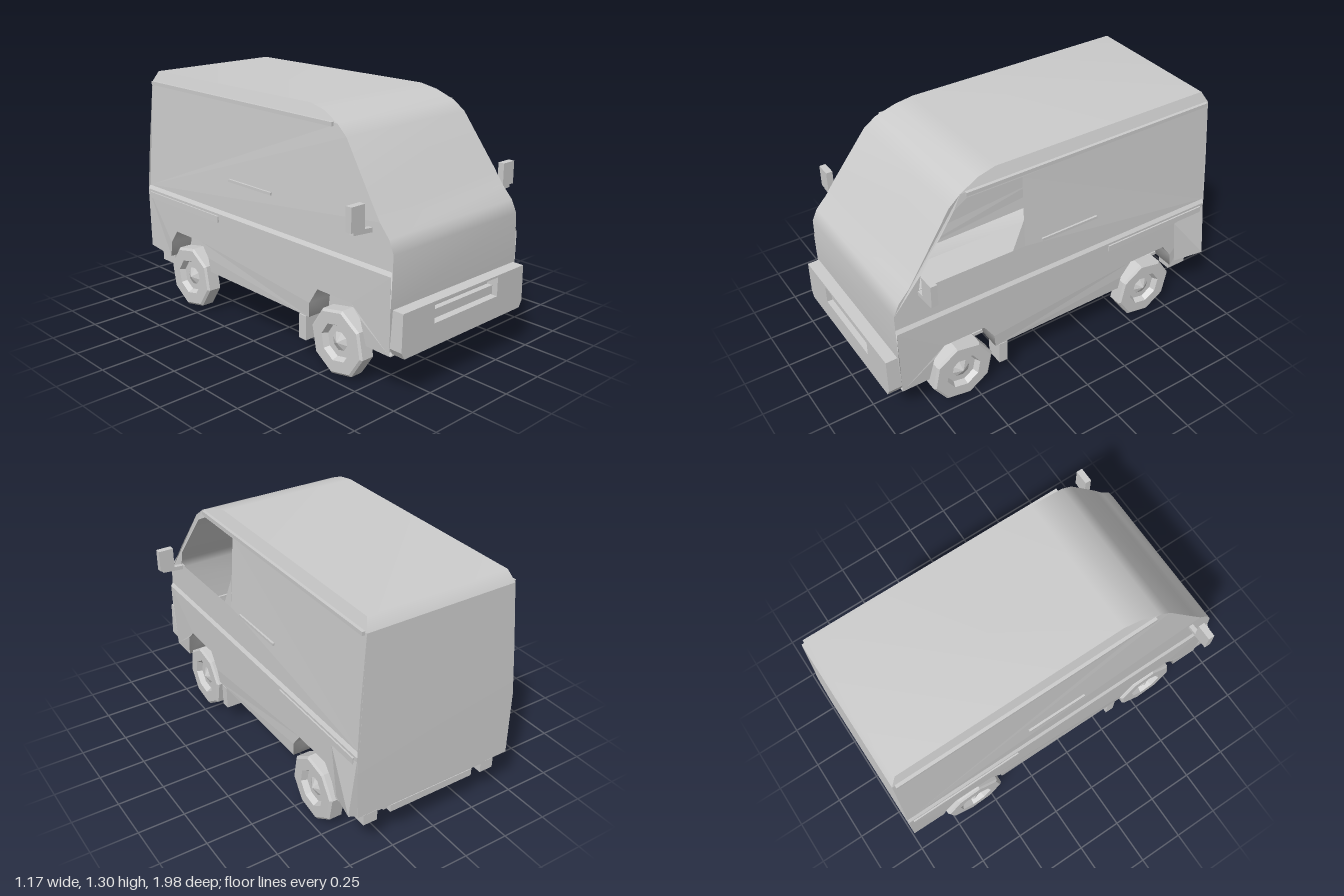
import * as THREE from 'three';

const paint = new THREE.MeshStandardMaterial({ color: 0xcccccc, side: THREE.DoubleSide });
paint.name = 'light grey';

// half width of the body at height y
const WIDTHS = [[0.24, 0.45], [0.3, 0.458], [0.62, 0.462], [0.64, 0.45], [0.9, 0.443], [1.13, 0.426], [1.24, 0.412], [1.305, 0.388]];
function halfWidth(y) {
  if (y <= WIDTHS[0][0]) return WIDTHS[0][1];
  for (let i = 1; i < WIDTHS.length; i++) {
    const [y0, w0] = WIDTHS[i - 1], [y1, w1] = WIDTHS[i];
    if (y <= y1) return w0 + (w1 - w0) * (y - y0) / (y1 - y0);
  }
  return WIDTHS[WIDTHS.length - 1][1];
}

// side profiles as [z, y]
const FRONT = [[0.92, 0.25], [0.93, 0.45], [0.93, 0.72], [0.9, 0.785], [0.84, 0.85], [0.785, 0.93], [0.6, 1.19],
  [0.535, 1.24], [0.43, 1.285], [0.33, 1.305], [-0.93, 1.3], [-0.965, 1.24]];
const REAR = [[-0.965, 1.24], [-0.975, 0.9], [-0.985, 0.62], [-0.99, 0.27]];
const SILL = [[-0.99, 0.27], [-0.8, 0.25], [-0.78, 0.34], [-0.72, 0.42], [-0.49, 0.42], [-0.43, 0.34],
  [-0.42, 0.26], [0.38, 0.25], [0.39, 0.33], [0.45, 0.42], [0.68, 0.42], [0.74, 0.36], [0.77, 0.23], [0.92, 0.23]];

const points2 = pts => pts.map(([a, b]) => new THREE.Vector2(a, b));

function surface(pos, idx) {
  const g = new THREE.BufferGeometry();
  g.setAttribute('position', new THREE.Float32BufferAttribute(pos, 3));
  g.setIndex(idx);
  g.computeVertexNormals();
  return g;
}

// band of surface running along a profile, between two x positions given per height
function strip(profile, xa, xb) {
  const pos = [], idx = [];
  profile.forEach(([z, y], i) => {
    pos.push(xa(y), y, z, xb(y), y, z);
    if (i) {
      const a = 2 * i - 2;
      idx.push(a, a + 1, a + 3, a, a + 3, a + 2);
    }
  });
  return surface(pos, idx);
}

// flat side panel bent to the body width; s is the side
function sidePanel(points, s, hole, xOf = halfWidth) {
  const shape = new THREE.Shape(points2(points));
  if (hole) shape.holes.push(new THREE.Path(points2(hole)));
  const g = new THREE.ShapeGeometry(shape);
  const p = g.attributes.position;
  for (let i = 0; i < p.count; i++) {
    const z = p.getX(i), y = p.getY(i);
    p.setXYZ(i, s * xOf(y), y, z);
  }
  if (s > 0) { // keep the faces pointing outward
    const ix = g.index.array;
    for (let i = 0; i < ix.length; i += 3) [ix[i], ix[i + 1]] = [ix[i + 1], ix[i]];
  }
  const flat = g.toNonIndexed();
  flat.computeVertexNormals();
  return flat;
}

export function createModel() {
  const van = new THREE.Group();
  van.name = 'van';
  const add = (name, geometry, parent = van) => {
    const m = new THREE.Mesh(geometry, paint);
    m.name = name;
    parent.add(m);
    return m;
  };
  const box = (name, w, h, d, x, y, z, parent) => {
    const m = add(name, new THREE.BoxGeometry(w, h, d), parent);
    m.position.set(x, y, z);
    return m;
  };

  // body skin
  const neg = y => -halfWidth(y);
  add('frontAndRoof', strip(FRONT, neg, halfWidth));
  add('rearDoor', strip(REAR, neg, halfWidth));
  const cabWindow = [[0.2, 0.82], [0.2, 1.21], [0.5, 1.21], [0.575, 1.17], [0.775, 0.9], [0.79, 0.82]];
  const lower = [...SILL, [0.93, 0.45], [0.93, 0.62], [-0.985, 0.62]];
  const ledge = [[0.93, 0.62], [-0.985, 0.62], [-0.985, 0.64], [0.93, 0.64]];
  const upper = [[-0.985, 0.64], [0.93, 0.64], ...FRONT.slice(2, 8), [-0.965, 1.24]];
  for (const s of [-1, 1]) {
    add('lowerSide', sidePanel(lower, s));
    add('beltLedge', sidePanel(ledge, s));
    add('upperSide', sidePanel(upper, s, s > 0 ? cabWindow : null));
    add('roofEdge', sidePanel(FRONT.slice(7), s));
    box('dripRail', 0.018, 0.02, 1.46, s * 0.418, 1.235, -0.22);
    box('beltMoulding', 0.016, 0.035, 0.64, s * 0.462, 0.59, -0.64);
    box('doorRail', 0.012, 0.014, 0.34, s * 0.447, 0.82, -0.07);
    // wheel wells
    add('wheelWell', strip(SILL, () => s * 0.32, y => s * halfWidth(y)));
    for (const arch of [SILL.slice(1, 7), SILL.slice(7, 13)])
      add('wellWall', sidePanel(arch, s, null, () => 0.32));
  }
  box('floor', 0.66, 0.02, 1.88, 0, 0.26, -0.04);

  // flared panel at the left rear corner, and the broken quarter glass behind the cab window
  add('rearCornerFlare', surface([0.463, 0.56, -0.78, 0.463, 0.6, -0.985, 0.505, 0.3, -0.985, 0.46, 0.28, -0.82, 0.45, 0.28, -0.988],
    [0, 2, 1, 0, 3, 2, 1, 2, 4]).toNonIndexed()).geometry.computeVertexNormals();
  add('quarterPane', sidePanel([[0.2, 0.82], [0.27, 0.82], [0.2, 0.98]], 1));

  // front bumper with a sunken grille
  const face = new THREE.Shape(points2([[-0.45, 0.27], [-0.43, 0.235], [0.43, 0.235], [0.45, 0.27], [0.445, 0.46], [-0.445, 0.46]]));
  face.holes.push(new THREE.Path(points2([[-0.23, 0.35], [-0.23, 0.45], [0.24, 0.45], [0.24, 0.35]])));
  add('bumper', new THREE.ExtrudeGeometry(face, { depth: 0.075, bevelEnabled: false })).position.z = 0.918;
  box('grilleBar', 0.47, 0.045, 0.03, 0, 0.38, 0.95);
  box('frontValance', 0.8, 0.05, 0.1, 0, 0.22, 0.83);

  // door mirrors
  for (const s of [-1, 1]) {
    const mirror = new THREE.Group();
    mirror.name = 'mirror';
    van.add(mirror);
    box('mirrorHead', 0.085, 0.12, 0.035, s * 0.542, 0.88, 0.785, mirror);
    box('mirrorArm', 0.13, 0.022, 0.025, s * 0.5, 0.81, 0.785, mirror).rotation.z = s * 0.08;
  }

  // wheels: eight-sided tyre ring with a sunken rim and hub
  const tyre = [[0.1, -0.045], [0.15, -0.045], [0.178, -0.035], [0.178, 0.035], [0.165, 0.045], [0.1, 0.045], [0.085, 0.015], [0.05, 0.015], [0, 0.04]];
  const tyreGeo = new THREE.LatheGeometry(points2(tyre), 8).toNonIndexed();
  tyreGeo.computeVertexNormals();
  for (const z of [0.575, -0.605]) {
    for (const s of [-1, 1]) {
      const wheel = add(z > 0 ? 'frontWheel' : 'rearWheel', tyreGeo);
      wheel.position.set(s * (z > 0 ? 0.412 : 0.42), 0.18, z);
      wheel.rotation.set(0.2, 0, -s * Math.PI / 2);
      const disc = add('rimBack', new THREE.CircleGeometry(0.12, 8));
      disc.position.set(s * 0.375, 0.18, z);
      disc.rotation.y = -s * Math.PI / 2;
    }
    const axle = add('axle', new THREE.CylinderGeometry(0.028, 0.028, 0.76, 8));
    axle.rotation.z = Math.PI / 2;
    axle.position.set(0, 0.185, z);
  }

  // underside
  for (const s of [-1, 1]) {
    box('chassisRail', 0.05, 0.05, 1.75, s * 0.25, 0.225, -0.07);
    box('mudFlap', 0.1, 0.13, 0.05, s * 0.4, 0.18, 0.33);
    box('rearBracket', 0.08, 0.06, 0.12, s * 0.36, 0.205, -0.9);
  }
  box('engine', 0.3, 0.07, 0.36, 0, 0.205, 0.25);
  box('fuelTank', 0.22, 0.06, 0.4, -0.1, 0.21, -0.25);
  box('rearDifferential', 0.12, 0.09, 0.12, 0, 0.195, -0.605);
  box('rearStep', 0.5, 0.04, 0.06, 0, 0.215, -0.94);

  return van;
}
